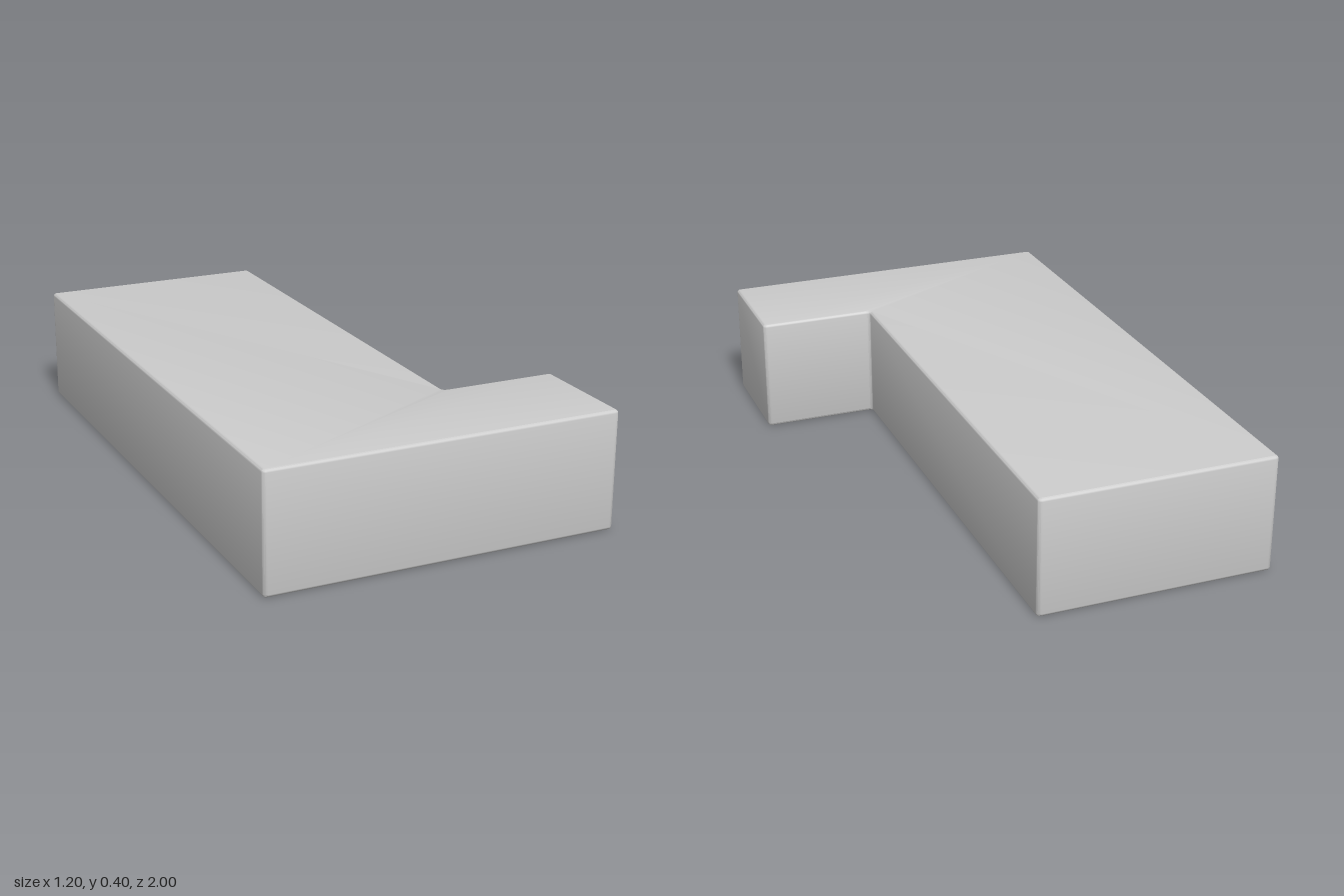
import * as THREE from 'three';
import { toCreasedNormals } from 'three/addons/utils/BufferGeometryUtils.js';

const HEIGHT = 0.4;
const BEVEL = 0.01; // softened top and bottom edges
const CORNER = 0.014; // softened upright edges

// Closed outline whose corners are all slightly rounded
function roundedOutline(corners, radius) {
  const points = corners.map(([x, z]) => new THREE.Vector2(x, -z));
  const shape = new THREE.Shape();
  points.forEach((p, i) => {
    const previous = points[(i + points.length - 1) % points.length];
    const next = points[(i + 1) % points.length];
    const a = previous.clone().sub(p).setLength(radius).add(p);
    const b = next.clone().sub(p).setLength(radius).add(p);
    if (i === 0) shape.moveTo(a.x, a.y);
    else shape.lineTo(a.x, a.y);
    shape.quadraticCurveTo(p.x, p.y, b.x, b.y);
  });
  shape.closePath();
  return shape;
}

export function createModel() {
  const group = new THREE.Group();
  group.name = 'lShapedBlock';

  // L-shaped plan as [x, z]: a long slab with a short foot at the front left
  const outline = roundedOutline([
    [-0.6, 1], [0.6, 1], [0.6, 0.6], [0.2, 0.6], [0.2, -1], [-0.6, -1],
  ], CORNER);

  const geometry = new THREE.ExtrudeGeometry(outline, {
    depth: HEIGHT - 2 * BEVEL,
    curveSegments: 4,
    bevelEnabled: true,
    bevelThickness: BEVEL,
    bevelSize: BEVEL,
    bevelOffset: -BEVEL,
    bevelSegments: 3,
  });
  geometry.rotateX(-Math.PI / 2).translate(0, BEVEL, 0);

  const block = new THREE.Mesh(
    toCreasedNormals(geometry, 0.65),
    new THREE.MeshStandardMaterial({ color: 0xcccccc }),
  );
  block.name = 'block';
  group.add(block);
  return group;
}
